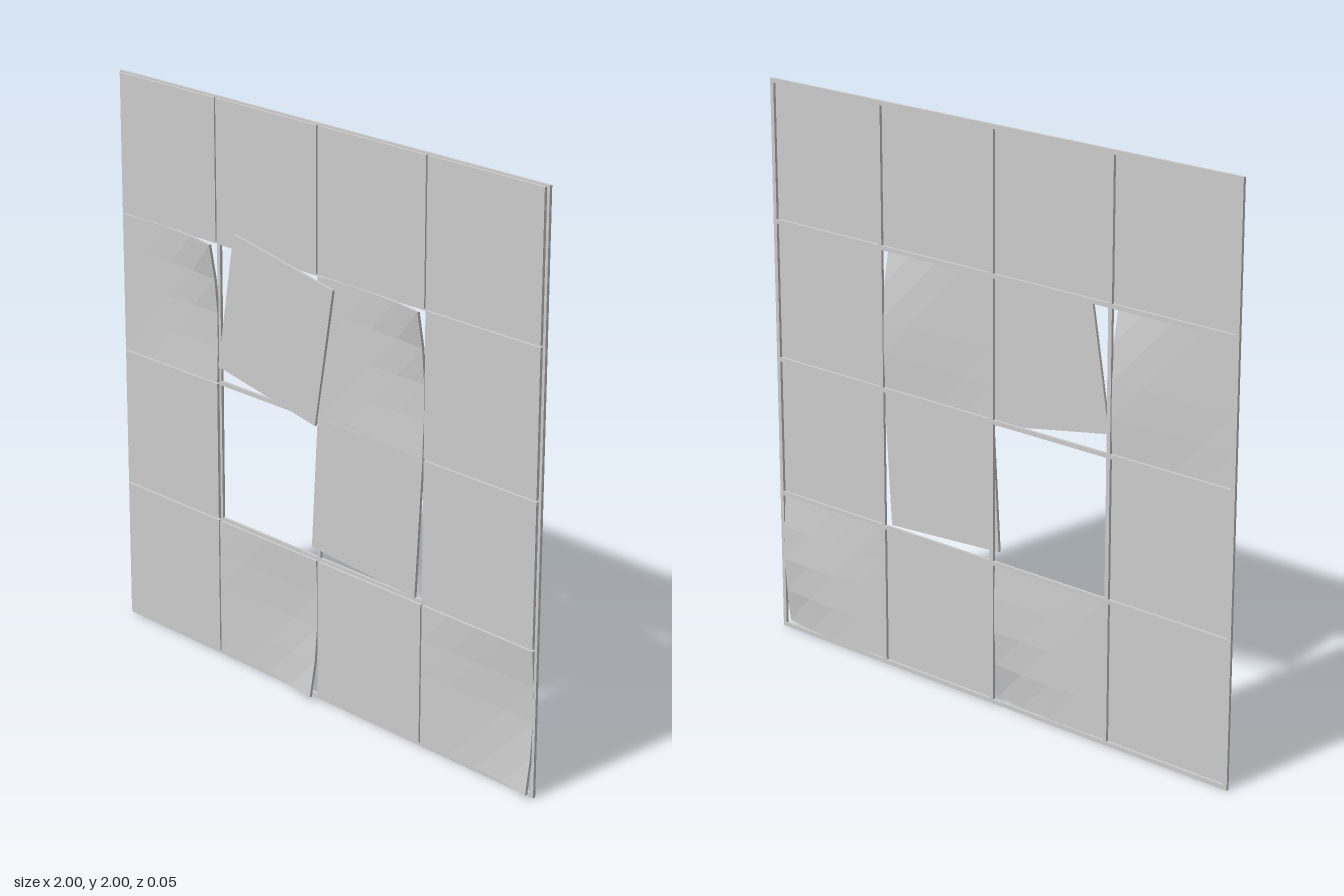
import * as THREE from 'three';

const PITCH = 0.4965, TILE = 0.49, THICK = 0.01, BAR = 0.015;
const lineX = i => -0.993 + i * PITCH;
const lineY = i => 0.012 + i * PITCH;
const material = new THREE.MeshStandardMaterial({ color: 0xcccccc, flatShading: true });

function addBox(parent, name, w, h, d, x, y, z) {
  const mesh = new THREE.Mesh(new THREE.BoxGeometry(w, h, d), material);
  mesh.name = name;
  mesh.position.set(x, y, z);
  parent.add(mesh);
  return mesh;
}

// Tile whose lower or upper outer corner curls forward while its middle sags back
function warpedGeometry(top, sag, lift) {
  const geo = new THREE.BoxGeometry(TILE, TILE, THICK, 4, 4, 1);
  const p = geo.attributes.position;
  for (let i = 0; i < p.count; i++) {
    const u = p.getX(i) / TILE + 0.5;
    const v0 = p.getY(i) / TILE + 0.5;
    const v = top ? v0 : 1 - v0;
    const dip = Math.sin(Math.PI * u) * v + Math.sin(Math.PI * v) * u;
    p.setZ(i, p.getZ(i) + lift * (u * v) ** 3 - sag * dip);
  }
  geo.computeVertexNormals();
  return geo;
}

export function createModel() {
  const model = new THREE.Group();
  model.name = 'tiledPanel';

  // Support grid behind the tiles
  const frame = new THREE.Group();
  frame.name = 'supportGrid';
  for (let i = 0; i < 5; i++) {
    addBox(frame, 'uprightBar', BAR, 1.995, 0.01, lineX(i), 1.002, -0.015);
    addBox(frame, 'crossBar', 2, BAR, 0.01, 0, Math.min(lineY(i), 1.9925), -0.015);
  }
  frame.children[1].position.y = BAR / 2;
  model.add(frame);

  // Special tiles, keyed by column and row from the bottom left
  const warped = {
    '0,2': [true, 0.008, 0.029],
    '2,2': [true, 0.008, 0.029],
    '1,0': [false, 0.008, 0.029],
    '3,0': [false, 0.013, 0.016]
  };
  const loose = {
    '1,2': { x: -0.2, y: 1.27, z: 0.003, angle: -9.9 },
    '2,1': { x: 0.235, y: 0.78, z: -0.0055, angle: -3.5 }
  };

  const tiles = new THREE.Group();
  tiles.name = 'tiles';
  for (let row = 0; row < 4; row++) {
    for (let col = 0; col < 4; col++) {
      const key = `${col},${row}`;
      if (key === '1,1') continue; // missing tile
      const tile = addBox(tiles, 'tile', TILE, TILE, THICK,
        lineX(col) + PITCH / 2, lineY(row) + PITCH / 2, -0.005);
      if (warped[key]) {
        tile.name = 'warpedTile';
        tile.geometry = warpedGeometry(...warped[key]);
      }
      if (loose[key]) {
        const { x, y, z, angle } = loose[key];
        tile.name = 'looseTile';
        tile.position.set(x, y, z);
        tile.rotation.z = THREE.MathUtils.degToRad(angle);
      }
    }
  }
  model.add(tiles);
  return model;
}
